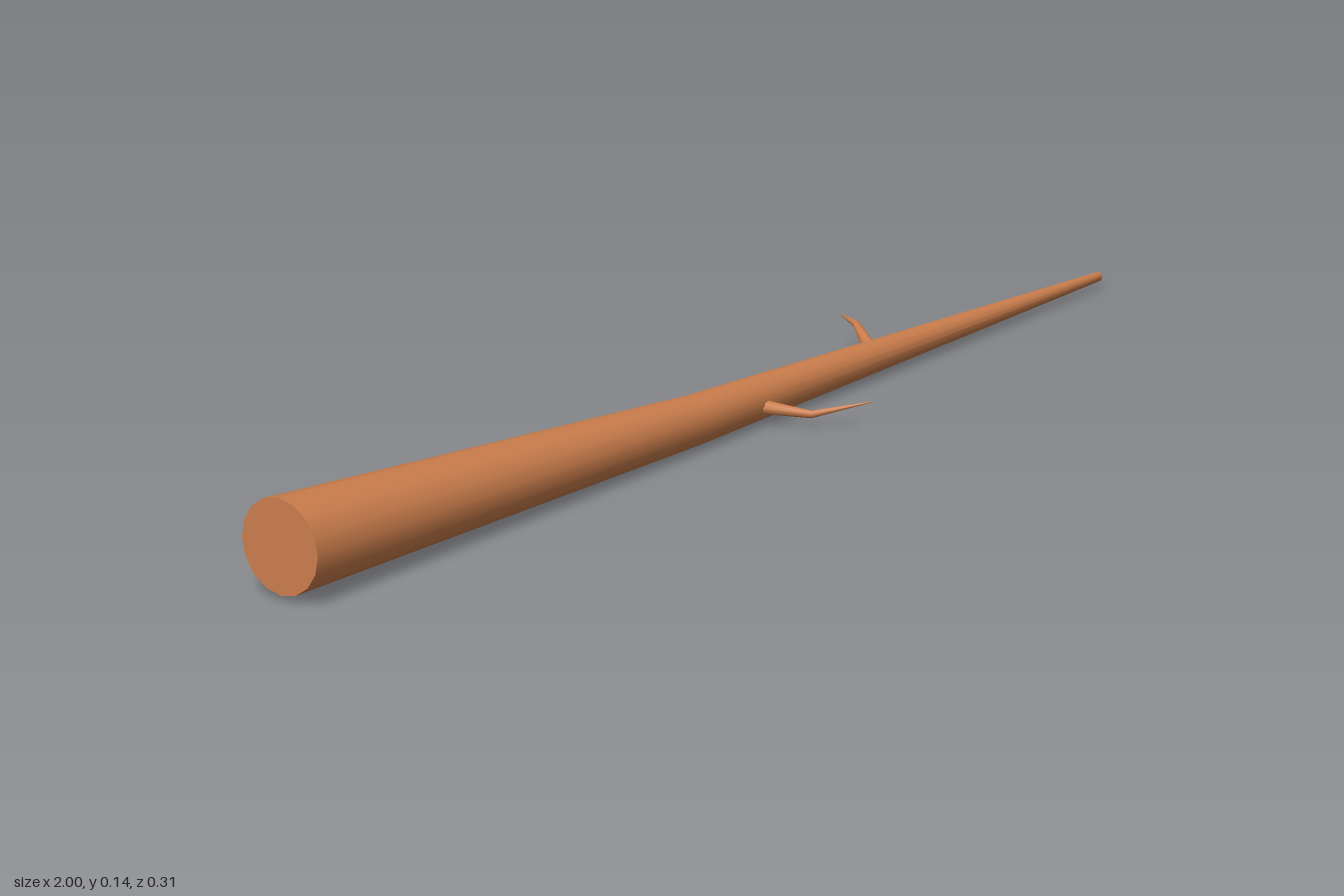
import * as THREE from 'three';

// Tapered limb: a loft of round rings [x, y, z, radius], closed at both ends.
function limb(name, rings, sides, material, axis) {
  const pos = [], index = [];
  const centres = rings.map((r) => new THREE.Vector3(r[0], r[1], r[2]));
  const frames = rings.map((r, i) => {
    const t = axis ? axis.clone() : centres[Math.min(i + 1, rings.length - 1)].clone()
      .sub(centres[Math.max(i - 1, 0)]).normalize();
    const u = new THREE.Vector3(0, 1, 0).addScaledVector(t, -t.y).normalize();
    return { u, v: new THREE.Vector3().crossVectors(t, u) };
  });
  const addRing = (i) => {
    const start = pos.length / 3;
    for (let k = 0; k < sides; k++) {
      const a = (k / sides) * Math.PI * 2;
      const p = centres[i].clone()
        .addScaledVector(frames[i].u, Math.cos(a) * rings[i][3])
        .addScaledVector(frames[i].v, Math.sin(a) * rings[i][3]);
      pos.push(p.x, p.y, p.z);
    }
    return start;
  };
  // side wall
  const starts = rings.map((r, i) => addRing(i));
  for (let i = 0; i < rings.length - 1; i++) {
    for (let k = 0; k < sides; k++) {
      const n = (k + 1) % sides;
      const a = starts[i] + k, b = starts[i] + n, c = starts[i + 1] + k, d = starts[i + 1] + n;
      index.push(a, b, c, b, d, c);
    }
  }
  // flat end caps with their own vertices, so the rims stay sharp
  for (const i of [0, rings.length - 1]) {
    const s = addRing(i);
    for (let k = 1; k < sides - 1; k++) {
      if (i === 0) index.push(s, s + k + 1, s + k);
      else index.push(s, s + k, s + k + 1);
    }
  }
  const geometry = new THREE.BufferGeometry();
  geometry.setAttribute('position', new THREE.Float32BufferAttribute(pos, 3));
  geometry.setIndex(index);
  geometry.computeVertexNormals();
  const mesh = new THREE.Mesh(geometry, material);
  mesh.name = name;
  return mesh;
}

export function createModel() {
  const group = new THREE.Group();
  group.name = 'branch';
  const wood = new THREE.MeshStandardMaterial({ color: 0xcd7f4d });

  // main stem, thick end at -x, slightly bent near the middle
  group.add(limb('stem', [
    [-1, 0.077, -0.014, 0.068],
    [-0.12, 0.04, -0.008, 0.038],
    [1, 0.021, -0.014, 0.008],
  ], 16, wood, new THREE.Vector3(1, 0, 0)));

  // two bent side twigs, rooted inside the stem
  group.add(limb('frontTwig', [
    [0.005, 0.036, 0.0, 0.013],
    [0.06, 0.021, 0.077, 0.006],
    [0.106, 0.043, 0.153, 0.001],
  ], 8, wood));
  group.add(limb('backTwig', [
    [0.35, 0.034, -0.018, 0.013],
    [0.395, 0.061, -0.081, 0.006],
    [0.453, 0.052, -0.152, 0.001],
  ], 8, wood));

  return group;
}
